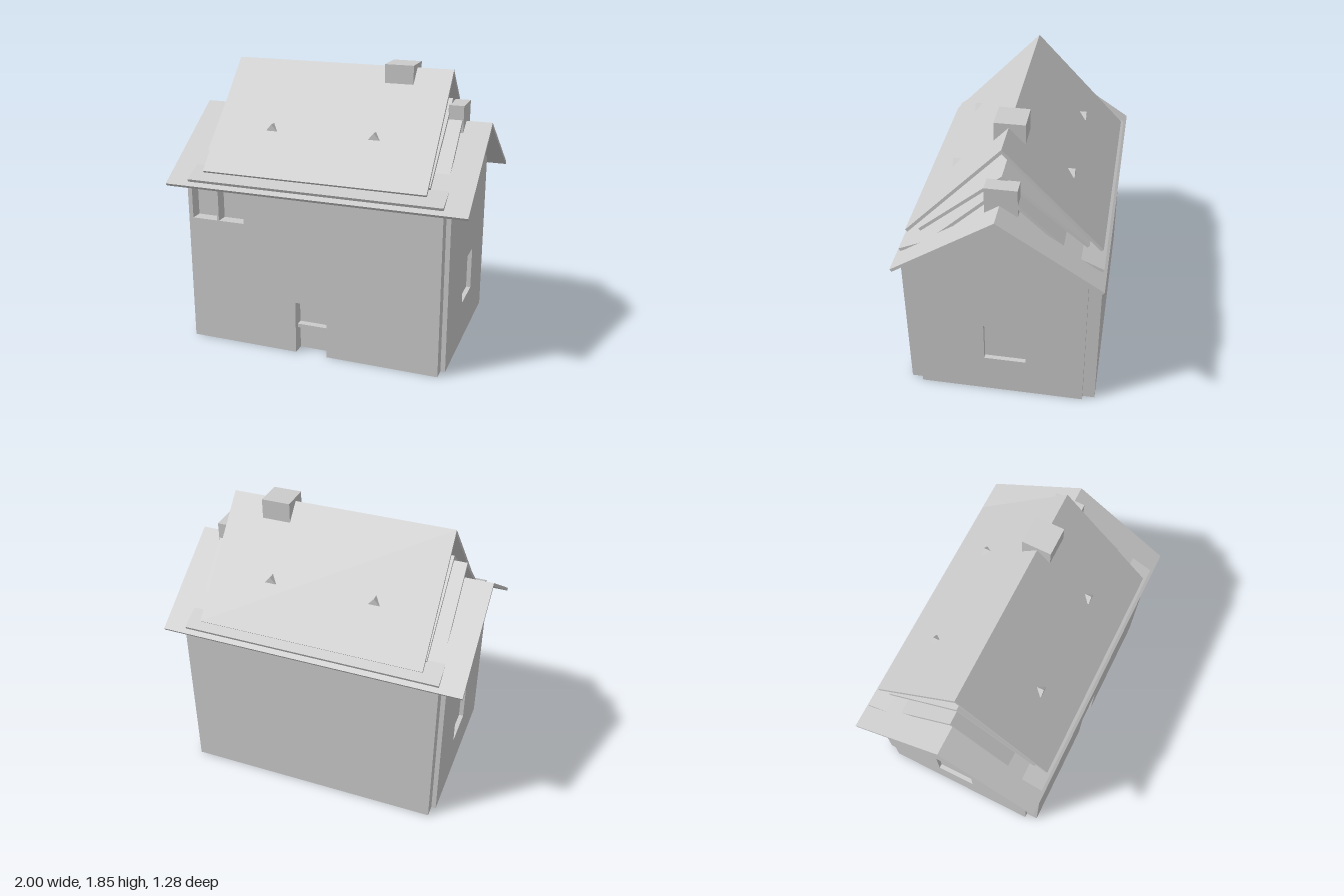
import * as THREE from 'three';

const material = new THREE.MeshStandardMaterial({ color: 0xcccccc, flatShading: true });

function add(parent, name, geometry) {
  const mesh = new THREE.Mesh(geometry, material);
  mesh.name = name;
  parent.add(mesh);
  return mesh;
}

const polygon = (pts) => new THREE.Shape(pts.map(([x, y]) => new THREE.Vector2(x, y)));

function rectHole(x0, x1, y0, y1) {
  const p = new THREE.Path();
  p.moveTo(x0, y0).lineTo(x0, y1).lineTo(x1, y1).lineTo(x1, y0).closePath();
  return p;
}

// Extrudes a shape from depth a to depth b along z
function slab(shape, a, b) {
  const g = new THREE.ExtrudeGeometry(shape, { depth: b - a, bevelEnabled: false });
  return g.translate(0, 0, a);
}

// Same, but along x (shape x becomes -z)
const slabAlongX = (shape, a, b) => slab(shape, a, b).rotateY(Math.PI / 2);

function box(x0, x1, y0, y1, z0, z1) {
  return new THREE.BoxGeometry(x1 - x0, y1 - y0, z1 - z0)
    .translate((x0 + x1) / 2, (y0 + y1) / 2, (z0 + z1) / 2);
}

// Pitched roof of two thin slopes, cut square at the eaves
function roof(halfLength, ridge, halfWidth, eave, t = 0.02) {
  const a = Math.atan2(ridge - eave, halfWidth);
  const iw = halfWidth - t * Math.sin(a);
  const ie = eave - t * Math.cos(a);
  const shape = polygon([
    [0, ridge], [-halfWidth, eave], [-iw, ie],
    [0, ridge - t / Math.cos(a)], [iw, ie], [halfWidth, eave],
  ]);
  return slabAlongX(shape, -halfLength, halfLength);
}

// Four little triangular vents, two on each slope
function addVents(parent, y, z, height, depth) {
  const tri = polygon([[-0.037, y], [0.037, y], [0, y + height]]);
  for (const x of [-0.352, 0.338]) {
    for (const side of [1, -1]) {
      const g = side > 0 ? slab(tri, z - depth, z) : slab(tri, -z, -z + depth);
      add(parent, 'roofVent', g.translate(x, 0, 0));
    }
  }
}

export function createModel() {
  const house = new THREE.Group();
  house.name = 'house';

  // Solid core and the two gable walls with their window recesses
  const gable = () => polygon([[-0.54, 0], [0.54, 0], [0.54, 1.122], [0, 1.478], [-0.54, 1.122]]);
  add(house, 'core', slabAlongX(gable(), -0.85, 0.85));
  const gableWall = gable();
  gableWall.holes.push(rectHole(-0.11, 0.16, 0.285, 0.575));
  add(house, 'leftGableWall', slabAlongX(gableWall, 0.85, 0.88));
  add(house, 'rightGableWall', slabAlongX(gableWall, -0.88, -0.85));

  // Front wall with doorway and a pair of upper windows
  const frontWall = polygon([
    [-0.85, 0], [-0.105, 0], [-0.105, 0.355], [0.11, 0.355], [0.11, 0],
    [0.85, 0], [0.85, 1.075], [-0.85, 1.075],
  ]);
  frontWall.holes.push(rectHole(-0.82, -0.647, 0.855, 1.06), rectHole(-0.633, -0.455, 0.855, 1.06));
  add(house, 'frontWall', slab(frontWall, 0.54, 0.62));
  add(house, 'doorRail', box(-0.105, 0.11, 0.165, 0.19, 0.54, 0.585));
  add(house, 'backWall', box(-0.85, 0.85, 0, 1.075, -0.62, -0.54));

  // Stacked roofs, from the lowest to the highest
  add(house, 'mainRoof', roof(1, 1.5, 0.64, 1.075));
  add(house, 'eavesRoof', roof(0.848, 1.4, 0.623, 1.115));
  add(house, 'lowerRoof', roof(0.825, 1.607, 0.44, 1.19));
  add(house, 'middleRoof', roof(0.74, 1.64, 0.522, 1.198));
  add(house, 'topRoof', roof(0.74, 1.82, 0.607, 1.178));

  // Vents on the slopes
  addVents(house, 1.422, 0.383, 0.043, 0.055);
  addVents(house, 1.21, 0.51, 0.055, 0.07);

  // Chimneys
  add(house, 'topChimney', box(0.315, 0.503, 1.71, 1.845, -0.1, 0.09));
  add(house, 'endChimney', box(0.735, 0.833, 1.42, 1.613, -0.107, 0.09));

  return house;
}
